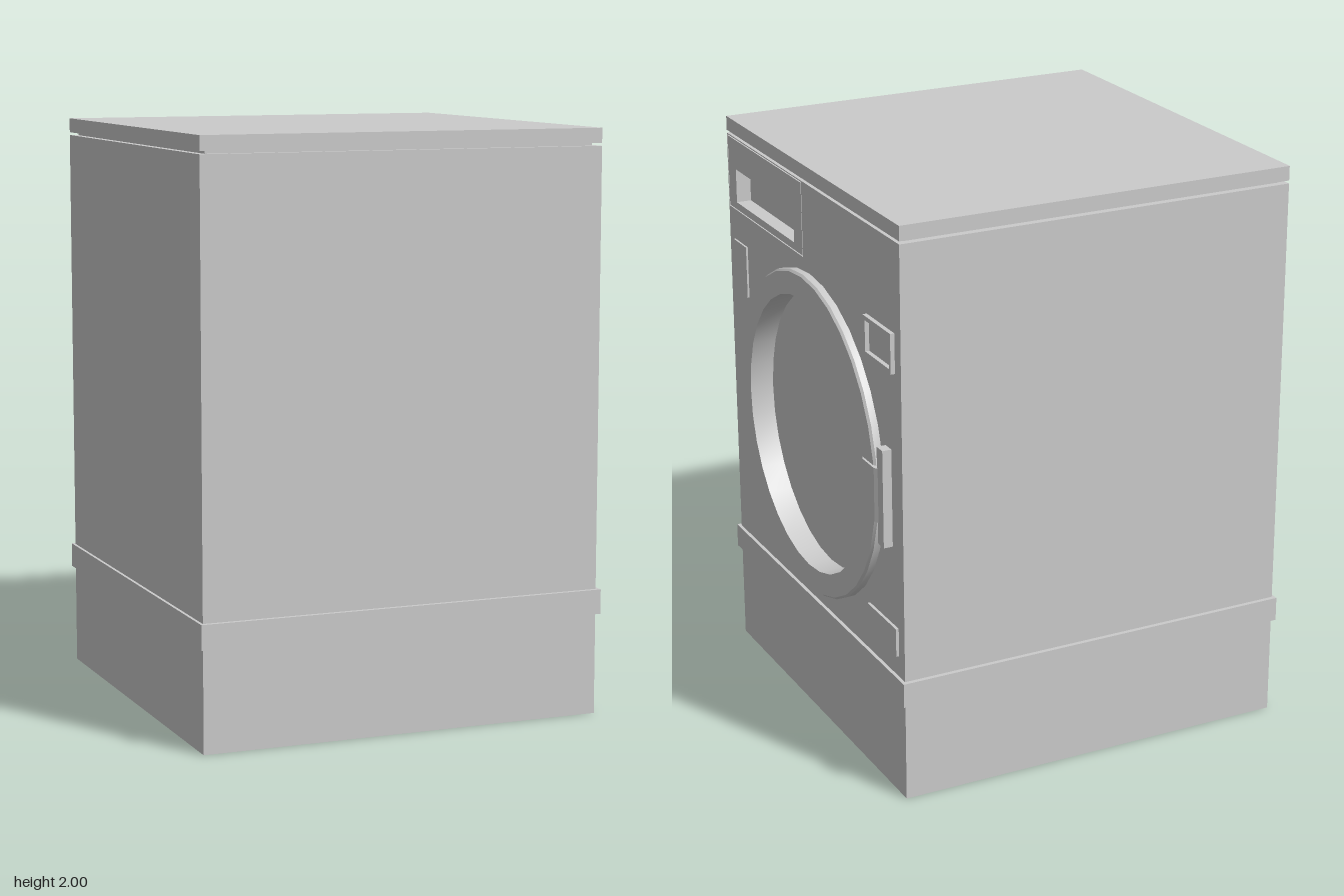
import * as THREE from 'three';
import { toCreasedNormals } from 'three/addons/utils/BufferGeometryUtils.js';

const material = new THREE.MeshStandardMaterial({ color: 0xcccccc });

function add(parent, name, geometry) {
  const mesh = new THREE.Mesh(geometry, material);
  mesh.name = name;
  parent.add(mesh);
  return mesh;
}

// Box given by its extents on each axis
function block(parent, name, [x0, x1], [y0, y1], [z0, z1]) {
  const mesh = add(parent, name, new THREE.BoxGeometry(x1 - x0, y1 - y0, z1 - z0));
  mesh.position.set((x0 + x1) / 2, (y0 + y1) / 2, (z0 + z1) / 2);
  return mesh;
}

function rect(Type, x0, x1, y0, y1) {
  return new Type([[x0, y0], [x1, y0], [x1, y1], [x0, y1]].map((p) => new THREE.Vector2(...p)));
}

// Flat plate with holes, running from depth z0 to z1
function plate(parent, name, shape, holes, z0, z1) {
  shape.holes.push(...holes);
  const geometry = new THREE.ExtrudeGeometry(shape, { depth: z1 - z0, bevelEnabled: false, curveSegments: 32 });
  add(parent, name, geometry.translate(0, 0, z0));
}

export function createModel() {
  const model = new THREE.Group();
  model.name = 'washingMachine';

  const BACK = -0.725, FACE = 0.693, RECESS = 0.64, HALF = 0.708;

  // Cabinet, plinth, band and lid
  block(model, 'plinth', [BACK, FACE], [0, 0.35], [-HALF, HALF]);
  block(model, 'band', [-0.735, 0.705], [0.35, 0.435], [-0.723, 0.723]);
  block(model, 'cabinet', [BACK, RECESS], [0.435, 1.94], [-HALF, HALF]);
  block(model, 'lidGap', [-0.7, 0.668], [1.94, 1.95], [-0.683, 0.683]);
  block(model, 'lid', [BACK, FACE], [1.95, 2], [-HALF, HALF]);

  // The door side: local x runs along the panel, local z points outwards
  const panel = new THREE.Group();
  panel.name = 'controlSide';
  panel.rotation.y = Math.PI / 2;
  model.add(panel);

  // Front sheet with openings for the drawer and the door
  const doorY = 1.06, rIn = 0.485, rOut = 0.572;
  const doorHole = new THREE.Path().absarc(0, doorY, rIn, 0, Math.PI * 2, true);
  plate(panel, 'frontSheet', rect(THREE.Shape, -HALF, HALF, 0.435, 1.94),
    [rect(THREE.Path, -0.704, -0.053, 1.675, 1.936), doorHole], RECESS, FACE);

  // Detergent drawer with a grip recess
  plate(panel, 'drawer', rect(THREE.Shape, -0.7, -0.057, 1.679, 1.932),
    [rect(THREE.Path, -0.635, -0.125, 1.705, 1.825)], RECESS, FACE);

  // Door ring: outer wall, chamfer, rim, inner wall
  const profile = [[rOut, FACE], [rOut, 0.717], [rOut - 0.007, 0.725], [rIn, 0.725], [rIn, RECESS]];
  const ring = new THREE.LatheGeometry(profile.map((p) => new THREE.Vector2(...p)), 32);
  ring.rotateX(Math.PI / 2);
  add(panel, 'doorRing', toCreasedNormals(ring, 0.5)).position.y = doorY;

  // Door latch with chamfered front edges, and the handle bar beside it
  const latch = [[0.475, RECESS], [0.59, RECESS], [0.59, 0.725], [0.577, 0.733], [0.49, 0.733], [0.475, 0.725]];
  const latchShape = new THREE.Shape(latch.map(([x, z]) => new THREE.Vector2(x, -z)));
  const latchGeometry = new THREE.ExtrudeGeometry(latchShape, { depth: 0.19, bevelEnabled: false });
  add(panel, 'doorLatch', latchGeometry.rotateX(-Math.PI / 2)).position.y = doorY - 0.095;
  block(panel, 'handleBar', [0.585, 0.628], [0.89, 1.23], [FACE, 0.725]);

  // Small raised plates and the framed display
  block(panel, 'sidePlate', [-0.66, -0.548], [1.378, 1.564], [FACE, 0.7]);
  block(panel, 'lowerPlate', [0.44, 0.664], [0.51, 0.61], [FACE, 0.703]);
  plate(panel, 'displayFrame', rect(THREE.Shape, 0.456, 0.664, 1.5, 1.636),
    [rect(THREE.Path, 0.472, 0.653, 1.515, 1.621)], FACE, 0.708);

  return model;
}
